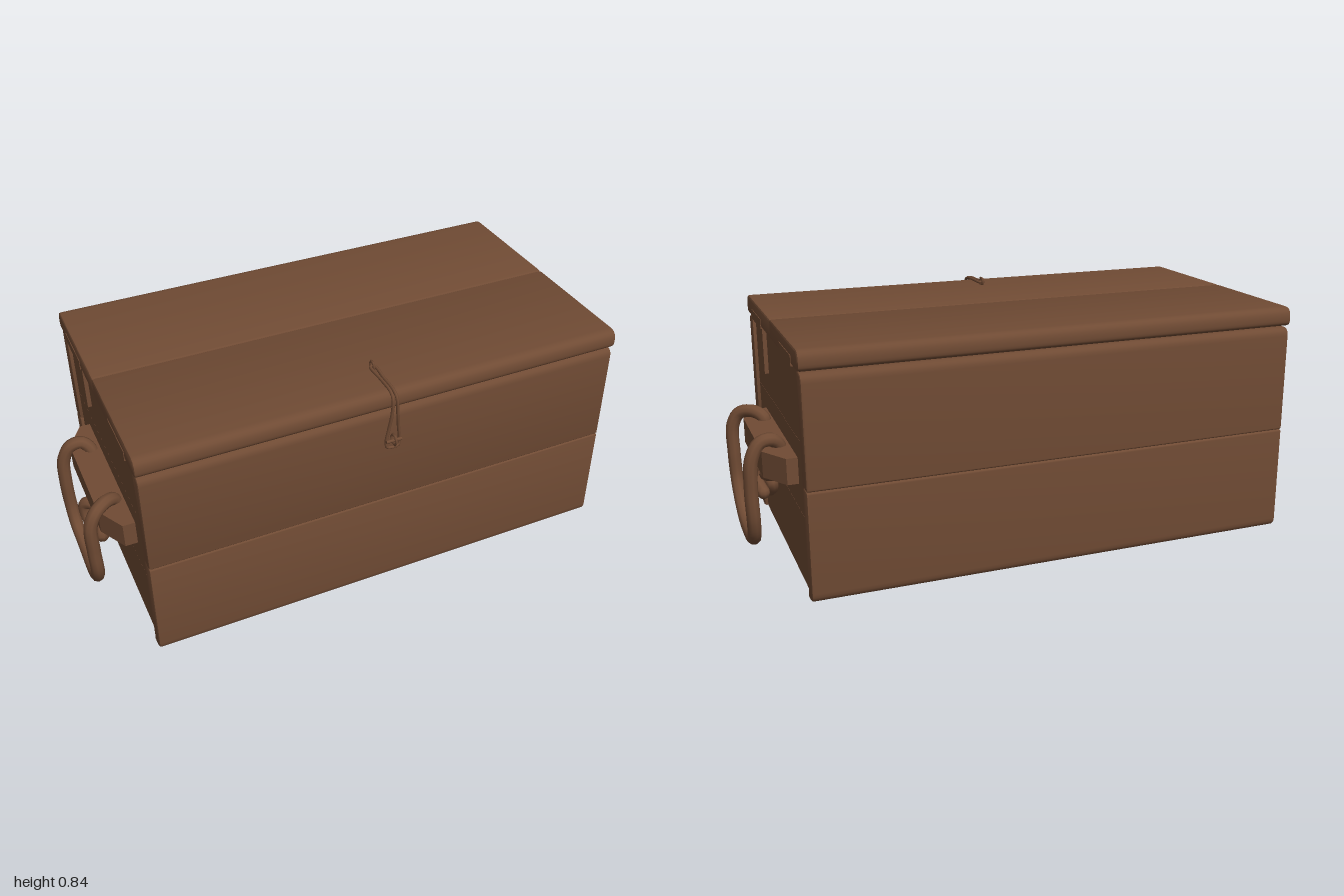
import * as THREE from 'three';
import { toCreasedNormals } from 'three/addons/utils/BufferGeometryUtils.js';

const wood = new THREE.MeshStandardMaterial({ color: 0x704b34 });
wood.name = 'brown';

function add(parent, name, geometry) {
  const mesh = new THREE.Mesh(geometry, wood);
  mesh.name = name;
  parent.add(mesh);
  return mesh;
}

function box(parent, name, x0, x1, y0, y1, z0, z1) {
  const g = new THREE.BoxGeometry(x1 - x0, y1 - y0, z1 - z0);
  g.translate((x0 + x1) / 2, (y0 + y1) / 2, (z0 + z1) / 2);
  return add(parent, name, g);
}

// Plank along x; radii round the corners (z0,y0) (z1,y0) (z1,y1) (z0,y1)
function plank(parent, name, halfLength, z0, z1, y0, y1, radii) {
  const corners = [[z0, y0], [z1, y0], [z1, y1], [z0, y1]];
  const dirs = [[1, 0], [0, 1], [-1, 0], [0, -1]];
  const s = new THREE.Shape();
  corners.forEach(([z, y], i) => {
    const r = radii[i];
    const before = dirs[(i + 3) % 4], after = dirs[i];
    const start = [z - before[0] * r, y - before[1] * r];
    if (i === 0) s.moveTo(...start);
    else s.lineTo(...start);
    s.quadraticCurveTo(z, y, z + after[0] * r, y + after[1] * r);
  });
  s.closePath();
  const bevel = 0.008;
  const g = new THREE.ExtrudeGeometry(s, {
    depth: 2 * (halfLength - bevel), curveSegments: 5,
    bevelSize: 0.006, bevelOffset: -0.006, bevelThickness: bevel, bevelSegments: 2,
  });
  g.translate(0, 0, -(halfLength - bevel));
  g.rotateY(-Math.PI / 2);
  return add(parent, name, toCreasedNormals(g, 0.6));
}

// Tube with rounded end caps
function rope(parent, name, points, radius, segments, closed = false, sides = 9) {
  const v = points.map((p) => new THREE.Vector3(...p));
  const curve = new THREE.CatmullRomCurve3(v, closed, 'centripetal');
  add(parent, name, new THREE.TubeGeometry(curve, segments, radius, sides, closed));
  if (closed) return;
  for (const end of [v[0], v[v.length - 1]]) {
    const cap = new THREE.SphereGeometry(radius, sides, 6);
    cap.translate(end.x, end.y, end.z);
    add(parent, name + 'End', cap);
  }
}

// Everything on one end of the chest; s = 1 for +x, -1 for -x
function buildEnd(s) {
  const end = new THREE.Group();
  end.name = s > 0 ? 'leftEnd' : 'rightEnd';
  const X = (a, b) => (s > 0 ? [a, b] : [-b, -a]);

  // Three stacked end boards
  [[0.006, 0.249], [0.25, 0.499], [0.5, 0.745]].forEach(([y0, y1], i) =>
    box(end, 'endBoard' + i, ...X(0.79, 0.838), y0, y1, -0.427, 0.387));

  // Lid battens, wedge shaped and flush at their outer edges
  for (const [outer, inner] of [[0.345, 0.16], [-0.385, -0.195]]) {
    box(end, 'battenHead', ...X(0.8, 0.857), 0.745, 0.78, Math.min(outer, inner), Math.max(outer, inner));
    const w = new THREE.Shape([[0.8, inner], [0.852, inner], [0.839, outer], [0.8, outer]]
      .map(([x, z]) => new THREE.Vector2(s * x, -z)));
    const g = new THREE.ExtrudeGeometry(w, { depth: 0.17, bevelEnabled: false });
    g.rotateX(-Math.PI / 2);
    g.translate(0, 0.585, 0);
    add(end, 'lidBatten', g);
  }

  // Handle bar with sloping ends
  const bar = new THREE.Shape([[0.83, -0.31], [0.875, -0.31], [0.935, -0.21], [0.935, 0.17], [0.88, 0.272], [0.83, 0.272]]
    .map(([x, z]) => new THREE.Vector2(s * x, -z)));
  const barGeo = new THREE.ExtrudeGeometry(bar, { depth: 0.088, bevelEnabled: false });
  barGeo.rotateX(-Math.PI / 2);
  barGeo.translate(0, 0.341, 0);
  add(end, 'handleBar', barGeo);

  // Rope handle: over the bar, behind it and down to the knot
  const place = (pts) => pts.map(([x, y, z]) => [s * x, y, z]);
  rope(end, 'ropeHandle', place([
    [0.9, 0.315, 0.1], [0.875, 0.35, 0.14], [0.868, 0.43, 0.135], [0.9, 0.455, 0.16],
    [0.945, 0.445, 0.19], [0.97, 0.4, 0.199], [0.973, 0.3, 0.198], [0.97, 0.2, 0.19],
    [0.967, 0.13, 0.145], [0.965, 0.09, 0.08], [0.963, 0.075, -0.01], [0.963, 0.085, -0.09],
    [0.967, 0.12, -0.15], [0.97, 0.18, -0.18], [0.973, 0.3, -0.188], [0.965, 0.4, -0.19],
    [0.935, 0.45, -0.185], [0.895, 0.455, -0.18], [0.868, 0.42, -0.165], [0.875, 0.345, -0.15],
    [0.895, 0.315, -0.12],
  ]), 0.023, 110);
  // Knot and its two loose ends
  rope(end, 'knotStrand', place([
    [0.9, 0.315, 0.1], [0.905, 0.3, 0.04], [0.9, 0.285, -0.01], [0.885, 0.26, -0.05],
    [0.885, 0.225, -0.02], [0.905, 0.217, 0.035], [0.92, 0.24, 0.077], [0.915, 0.268, 0.065],
    [0.92, 0.275, 0.01], [0.93, 0.265, -0.04], [0.92, 0.243, -0.09],
  ]), 0.022, 60);
  rope(end, 'knotLoop', place([
    [0.895, 0.315, -0.12], [0.905, 0.3, -0.07], [0.89, 0.285, 0], [0.895, 0.3, 0.02],
    [0.925, 0.32, -0.01], [0.943, 0.31, -0.028], [0.945, 0.27, -0.027], [0.935, 0.235, -0.005],
    [0.905, 0.225, 0.02],
  ]), 0.022, 50);
  return end;
}

export function createModel() {
  const chest = new THREE.Group();
  chest.name = 'chest';

  // Front and back walls, two planks each
  plank(chest, 'frontLowerPlank', 0.85, 0.393, 0.45, 0.004, 0.374, [0.004, 0.032, 0.008, 0.004]);
  plank(chest, 'frontUpperPlank', 0.85, 0.393, 0.45, 0.375, 0.745, [0.004, 0.008, 0.03, 0.004]);
  plank(chest, 'backLowerPlank', 0.85, -0.49, -0.433, 0.004, 0.374, [0.032, 0.004, 0.004, 0.008]);
  plank(chest, 'backUpperPlank', 0.85, -0.49, -0.433, 0.375, 0.745, [0.008, 0.004, 0.004, 0.03]);
  box(chest, 'bottomBoard', -0.79, 0.79, 0.012, 0.05, -0.433, 0.393);

  // Lid of two planks
  plank(chest, 'lidFrontPlank', 0.855, -0.019, 0.453, 0.75, 0.816, [0.008, 0.022, 0.034, 0.008]);
  plank(chest, 'lidBackPlank', 0.855, -0.49, -0.021, 0.75, 0.816, [0.022, 0.008, 0.008, 0.034]);

  chest.add(buildEnd(1), buildEnd(-1));

  // Wire latch: a narrow double wire bent over the lid edge
  const latch = new THREE.Group();
  latch.name = 'latch';
  latch.position.x = -0.008;
  const half = [
    [0.006, 0.826, 0.305], [0.006, 0.824, 0.38], [0.006, 0.82, 0.45], [0.007, 0.805, 0.47],
    [0.01, 0.75, 0.474], [0.017, 0.69, 0.469], [0.024, 0.635, 0.466], [0.02, 0.612, 0.467],
  ];
  const other = half.slice().reverse().map(([x, y, z]) => [-x, y, z]);
  rope(latch, 'latchWire', [...half, ...other], 0.0055, 90, true, 6);
  // Staples holding the wire to lid and front
  for (const [y, z, r] of [[0.829, 0.305, 0.015], [0.643, 0.474, 0.019]]) {
    const ring = new THREE.TorusGeometry(r, 0.0045, 6, 6);
    ring.rotateY(Math.PI / 2);
    ring.translate(0, y, z);
    add(latch, 'staple', ring);
  }
  const pin = new THREE.CylinderGeometry(0.006, 0.006, 0.056, 6);
  pin.rotateZ(Math.PI / 2);
  pin.translate(0, 0.64, 0.474);
  add(latch, 'latchPin', pin);
  chest.add(latch);

  return chest;
}
